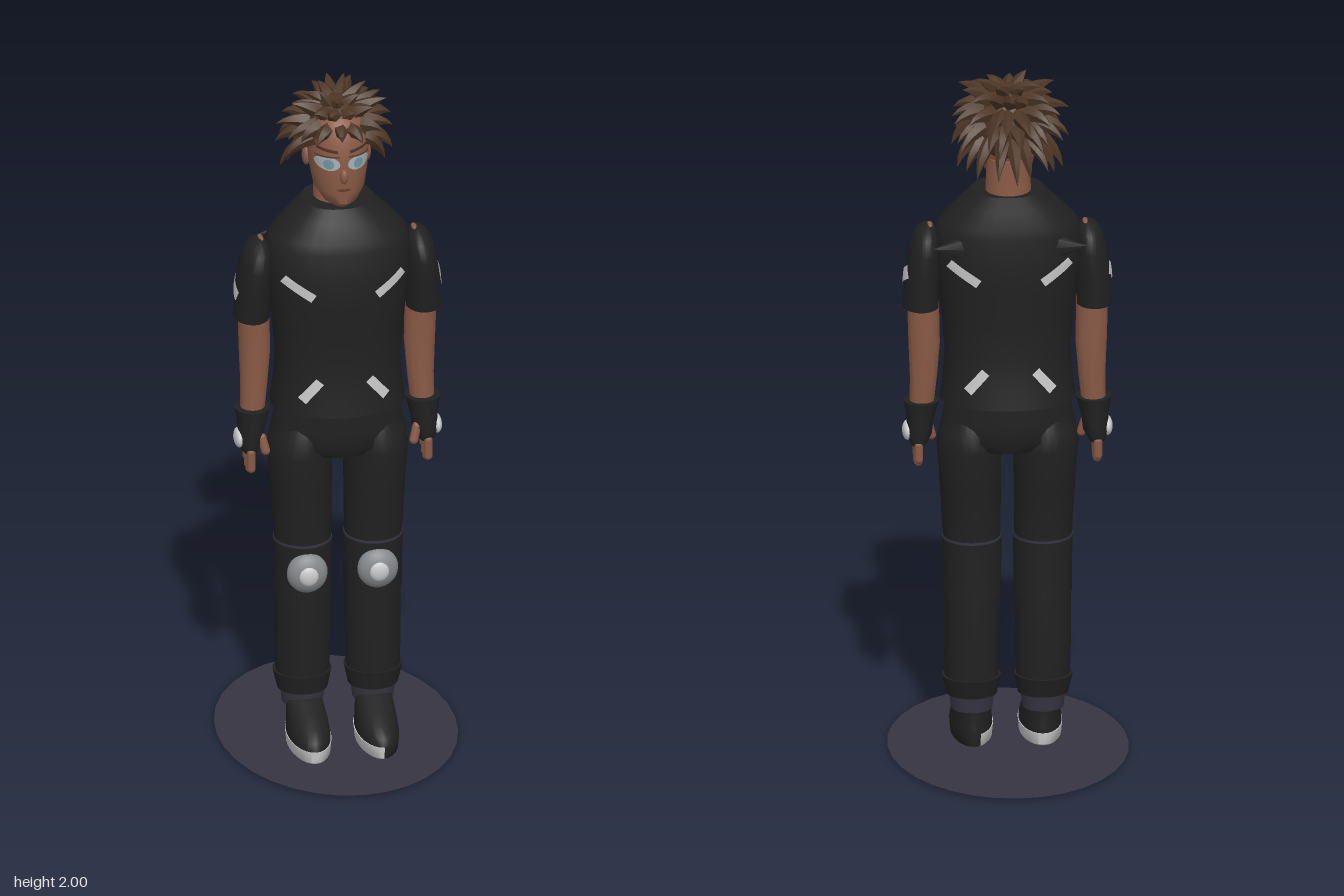
import * as THREE from 'three';
import { mergeGeometries, toCreasedNormals } from 'three/addons/utils/BufferGeometryUtils.js';

const mat = (name, color) => new THREE.MeshStandardMaterial({ name, color, side: THREE.DoubleSide });
const M = {
  black: mat('black cloth', 0x212122), skin: mat('skin', 0x8a5a46), hair: mat('brown hair', 0x4d3626),
  white: mat('pale grey', 0xc9c9c9), grey: mat('pad grey', 0x85888b), navy: mat('dark navy', 0x353441),
  eye: mat('eye grey', 0xa5b0b3), iris: mat('iris blue', 0x7097a3), lip: mat('lip brown', 0x603b30),
};

function add(group, name, geo, material, pos) {
  const mesh = new THREE.Mesh(geo, material);
  mesh.name = name;
  if (pos) mesh.position.set(...pos);
  group.add(mesh);
  return mesh;
}

// Skin over ascending cross-sections [y, cx, cz, rx, rz]; e < 1 squares the ellipse
function loft(rows, e = 1, a0 = 0, a1 = Math.PI * 2, n = 28) {
  const p = [], idx = [], bend = v => Math.sign(v) * Math.abs(v) ** e;
  for (const [y, cx, cz, rx, rz] of rows)
    for (let j = 0; j <= n; j++) {
      const a = a0 + (a1 - a0) * j / n;
      p.push(cx + rx * bend(Math.cos(a)), y, cz + rz * bend(Math.sin(a)));
    }
  const w = n + 1, last = (rows.length - 1) * w, c = rows.length * w;
  for (let i = 0; i < rows.length - 1; i++)
    for (let j = 0; j < n; j++) {
      const a = i * w + j, b = a + w;
      idx.push(a, b, b + 1, a, b + 1, a + 1);
    }
  for (const r of [rows[0], rows.at(-1)]) p.push(r[1], r[0], r[2]);
  for (let j = 0; j < n; j++) idx.push(c, j, j + 1, c + 1, last + j + 1, last + j);
  const g = new THREE.BufferGeometry();
  g.setAttribute('position', new THREE.Float32BufferAttribute(p, 3));
  g.setIndex(idx);
  return toCreasedNormals(g, 0.75);
}

// Lay a flat xy shape onto the front (side 1) or back (side -1) of a loft
function patch(geo, rows, side = 1, e = 1, off = 0.004) {
  const p = geo.attributes.position;
  for (let i = 0; i < p.count; i++) {
    const x = p.getX(i), y = p.getY(i);
    let k = 0;
    while (k < rows.length - 2 && rows[k + 1][0] < y) k++;
    const t = (y - rows[k][0]) / (rows[k + 1][0] - rows[k][0]);
    const [, cx, cz, rx, rz] = rows[k].map((v, c) => THREE.MathUtils.lerp(v, rows[k + 1][c], t));
    const q = Math.min(1, Math.abs(x - cx) / rx);
    p.setZ(i, cz + side * (rz * (1 - q ** (2 / e)) ** (e / 2) + off));
  }
  geo.computeVertexNormals();
  return geo;
}
const strip = (l, w, x, y, a) => new THREE.PlaneGeometry(l, w, 10, 4).rotateZ(a).translate(x, y, 0);
const oval = (rx, ry, x, y) => new THREE.RingGeometry(0.001, 1, 20, 4).scale(rx, ry, 1).translate(x, y, 0);
const ball = (x, y, z) => new THREE.SphereGeometry(1, 20, 14).scale(x, y, z);

const TORSO = [[1.04, 0, .02, .19, .145], [1.1, 0, .021, .182, .136], [1.18, 0, .022, .176, .128], [1.28, 0, .024, .184, .133],
  [1.38, 0, .025, .196, .143], [1.46, 0, .024, .205, .145], [1.54, 0, .021, .205, .136], [1.57, 0, .019, .19, .13],
  [1.62, 0, .014, .14, .11], [1.66, 0, .01, .1, .095]];
const FACE = [[1.668, 0, .075, .022, .03], [1.685, 0, .062, .048, .064], [1.72, 0, .046, .072, .084], [1.77, 0, .034, .081, .1],
  [1.82, 0, .028, .086, .103], [1.87, 0, .022, .087, .105], [1.92, 0, .015, .074, .088], [1.95, 0, .01, .045, .055]];
const SLEEVE = [[1.31, .243, .018, .05, .066], [1.4, .24, .021, .049, .074], [1.47, .234, .025, .045, .08],
  [1.52, .229, .025, .037, .07], [1.54, .227, .025, .026, .05], [1.553, .225, .025, .008, .018]];

function buildTorso(g) {
  add(g, 'shirt', loft(TORSO, 0.9), M.black);
  for (const s of [-1, 1]) for (const f of [-1, 1]) {
    add(g, 'chestStripe', patch(strip(.095, .027, s * .13, 1.44, s * .56), TORSO, f, .9), M.white);
    add(g, 'hemStripe', patch(strip(.078, .026, s * .095, 1.12, s * -.88), TORSO, f, .9), M.white);
  }
  add(g, 'hips', loft([[.9, 0, .02, .12, .11], [.93, 0, .02, .196, .124], [.98, 0, .02, .184, .128], [1.06, 0, .02, .17, .127]]), M.black);
}

function buildArm(g) {
  add(g, 'sleeve', loft(SLEEVE), M.black);
  add(g, 'shoulderSkin', ball(.008, .006, .022), M.skin, [.218, 1.55, .02]);
  const corner = new THREE.ConeGeometry(.05, .12, 8).scale(1, 1, .4).rotateZ(-Math.PI / 2);
  add(g, 'shoulderCorner', corner, M.black, [.158, 1.51, -.077]);
  const turned = SLEEVE.map(([y, cx, cz, rx, rz]) => [y, -cz, cx, rz, rx]);
  add(g, 'sleeveStripe', patch(strip(.078, .038, -.016, 1.405, .5), turned).rotateY(Math.PI / 2), M.white);
  add(g, 'arm', loft([[.98, .243, .02, .032, .034], [1.1, .236, .016, .038, .037], [1.2, .234, .014, .044, .04], [1.36, .238, .018, .045, .046]]), M.skin);
  add(g, 'glove', loft([[.9, .25, .024, .022, .044], [.93, .248, .024, .036, .05], [.97, .245, .024, .038, .05],
    [1.0, .243, .023, .043, .051], [1.03, .242, .022, .05, .054]]), M.black);
  add(g, 'gloveBadge', ball(.014, .027, .036), M.white, [.281, .938, .026]);
  for (let i = 0; i < 4; i++) {
    const len = [.05, .06, .057, .042][i];
    add(g, 'finger', new THREE.CapsuleGeometry(.0125, len, 4, 10), M.skin, [.251, .905 - len / 2, .062 - i * .025]);
  }
  const thumb = add(g, 'thumb', new THREE.CapsuleGeometry(.013, .04, 4, 10), M.skin, [.215, .927, .058]);
  thumb.rotation.set(-.2, 0, -.25);
}

function buildLeg(g, isLeft) {
  add(g, 'trouserLeg', loft([[.18, .1, .025, .075, .07], [.3, .1, .025, .078, .076], [.45, .099, .026, .079, .08],
    [.62, .1, .028, .081, .083], [.78, .104, .025, .086, .1], [.9, .108, .02, .091, .118], [.95, .106, .02, .084, .115], [1.0, .1, .02, .06, .09]]), M.black);
  add(g, 'kneePanel', loft([[.453, .099, .026, .082, .083], [.54, .099, .028, .082, .084], [.618, .1, .028, .084, .086]]), M.black);
  add(g, 'kneeSeam', loft([[.618, .1, .028, .083, .085], [.625, .1, .028, .083, .085]]), M.navy);
  add(g, 'kneePad', ball(.058, .06, .035), M.grey, [.1, .542, .108]);
  add(g, 'kneePadCentre', ball(.028, .03, .014), M.white, [.1, .542, .135]);
  add(g, 'cuff', loft([[.155, .1, .025, .071, .066], [.21, .101, .023, .083, .078]]), M.black);
  add(g, 'sock', loft([[.11, .1, .025, .058, .055], [.165, .1, .025, .064, .06]]), M.navy);
  const sole = [[0, .097, .105, .045, .12], [.012, .097, .105, .057, .133], [.045, .097, .105, .06, .135]];
  add(g, 'shoe', loft([...sole, [.065, .097, .1, .058, .128], [.088, .097, .083, .056, .108], [.112, .098, .058, .052, .083],
    [.13, .1, .035, .048, .06], [.14, .1, .03, .04, .045]]), M.black);
  // the left sole is only pale along its inner edge
  const rim = sole.map(([y, cx, cz, rx, rz]) => [y, cx, cz, rx + .002, rz + .002]);
  if (isLeft) {
    const p = loft(rim, 1, Math.PI * .5, Math.PI * 1.4);
    p.setDrawRange(0, 28 * 2 * 6);
    add(g, 'soleEdge', p, M.white);
  } else add(g, 'sole', loft(rim), M.white);
}

function buildHead(g) {
  add(g, 'neck', loft([[1.6, 0, 0, .075, .078], [1.66, 0, -.004, .064, .068], [1.76, 0, -.01, .06, .062]]), M.skin);
  add(g, 'head', loft(FACE), M.skin);
  add(g, 'nose', ball(.012, .022, .014), M.skin, [0, 1.775, .134]);
  add(g, 'mouth', patch(oval(.02, .004, 0, 1.733), FACE), M.lip);
  for (const s of [-1, 1]) {
    add(g, 'ear', ball(.012, .03, .02), M.skin, [s * .086, 1.79, .005]);
    add(g, 'eye', patch(oval(.033, .021, s * .044, 1.813), FACE, 1, 1, .005), M.eye);
    add(g, 'iris', patch(oval(.014, .015, s * .042, 1.812), FACE, 1, 1, .007), M.iris);
    add(g, 'eyelid', patch(strip(.064, .005, s * .044, 1.834, s * -.08), FACE, 1, 1, .007), M.lip);
    add(g, 'brow', patch(strip(.055, .009, s * .044, 1.853, s * .1), FACE, 1, 1, .006), M.hair);
  }
}

// One tapering, bent lock from root to tip
function lock(root, tip, width) {
  const mid = root.clone().lerp(tip, .5);
  mid.x *= 1.15; mid.z *= 1.15; mid.y += .015;
  const curve = new THREE.QuadraticBezierCurve3(root, mid, tip);
  const g = new THREE.TubeGeometry(curve, 4, width, 5), p = g.attributes.position, v = new THREE.Vector3();
  for (let i = 0; i < p.count; i++) {
    const t = Math.floor(i / 6) / 4, c = curve.getPointAt(t);
    v.fromBufferAttribute(p, i).sub(c).multiplyScalar(1 - t ** 1.5).add(c);
    p.setXYZ(i, v.x, v.y, v.z);
  }
  return toCreasedNormals(g, 0.6);
}

function buildHair(g) {
  let seed = 7;
  const jit = a => ((seed = (seed * 16807) % 2147483647) / 2147483647 - .5) * 2 * a;
  const cap = new THREE.SphereGeometry(1, 24, 16, 0, Math.PI * 2, 0, Math.PI * .58).rotateX(-.45).scale(.097, .117, .112);
  add(g, 'hairCap', cap, M.hair, [0, 1.85, .008]);
  // rows: count, root elevation, tip radius, tip height, width, smallest angle from the front
  const rows = [[7, 70, .085, 1.982, .022, 0], [13, 50, .135, 1.95, .025, 0], [16, 28, .163, 1.88, .024, 0],
    [18, 8, .16, 1.81, .023, 52], [18, -14, .152, 1.735, .023, 88]];
  const locks = [];
  rows.forEach(([n, elev, r, y, w, min], k) => {
    for (let i = 0; i < n; i++) {
      const a = (i + (k % 2) * .5) / n * Math.PI * 2 + jit(.12), e = elev * Math.PI / 180;
      const front = Math.cos(a), off = Math.abs(Math.atan2(Math.sin(a), front)) * 180 / Math.PI;
      if (off < min) continue;
      const R = r + jit(.013) - (front > .6 ? .012 : 0);
      const root = new THREE.Vector3(Math.sin(a) * Math.cos(e) * .085, 1.85 + Math.sin(e) * .107, front * Math.cos(e) * .1 + .005);
      const tip = new THREE.Vector3(Math.sin(a) * R, y + jit(.018), front * R - .01);
      locks.push(lock(root, tip, w));
    }
  });
  add(g, 'hairLocks', mergeGeometries(locks), M.hair);
}

export function createModel() {
  const model = new THREE.Group();
  model.name = 'standingFigure';
  const part = (name, build, mirror = 1) => {
    const g = new THREE.Group();
    g.name = name;
    build(g);
    g.scale.x = mirror;
    model.add(g);
  };
  part('torso', buildTorso);
  part('headGroup', buildHead);
  part('hair', buildHair);
  part('leftArm', buildArm);
  part('rightArm', buildArm, -1);
  part('leftLeg', g => buildLeg(g, true));
  part('rightLeg', g => buildLeg(g, false), -1);
  // flat oval base, with the soles reaching just below it
  const disc = new THREE.CircleGeometry(1, 32).scale(.338, .455, 1).rotateX(-Math.PI / 2);
  add(model, 'baseDisc', disc, M.navy, [0, .008, 0]);
  return model;
}
